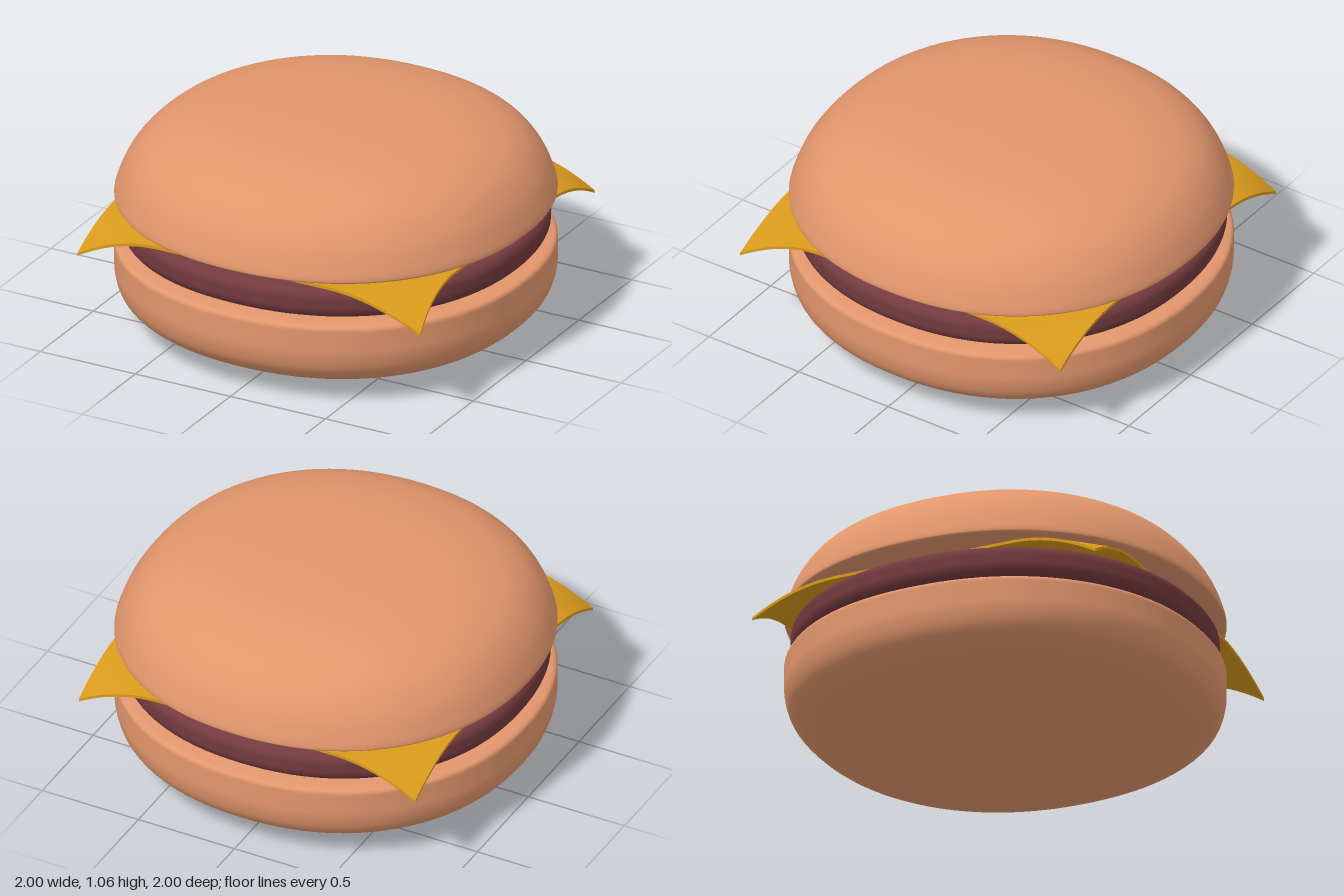
import * as THREE from 'three';
import { mergeVertices } from 'three/addons/utils/BufferGeometryUtils.js';

const bunMaterial = new THREE.MeshStandardMaterial({ color: 0xe2966c });
const pattyMaterial = new THREE.MeshStandardMaterial({ color: 0x733a3e });
const cheeseMaterial = new THREE.MeshStandardMaterial({ color: 0xd99a1c });

// Smooth round layer: a spline profile [radius, y] from bottom to top,
// spun round and pushed out slightly toward the diagonals.
function roundLayer(name, profile, material) {
  const curve = new THREE.CatmullRomCurve3(
    profile.map(([r, y]) => new THREE.Vector3(r, y, 0)), false, 'centripetal');
  const points = [];
  const steps = (profile.length - 1) * 5;
  for (let i = 0; i <= steps; i++) {
    const p = curve.getPoint(i / steps);
    const onAxis = i === 0 || i === steps;
    points.push(new THREE.Vector2(onAxis ? 0 : Math.min(1, Math.max(0, p.x)), p.y));
  }
  let geometry = new THREE.LatheGeometry(points, 96);
  const pos = geometry.attributes.position;
  const n = 2.16;
  for (let i = 0; i < pos.count; i++) {
    const x = pos.getX(i), z = pos.getZ(i), r = Math.hypot(x, z);
    if (r < 1e-6) continue;
    const k = (Math.abs(x / r) ** n + Math.abs(z / r) ** n) ** (-1 / n);
    pos.setX(i, x * k);
    pos.setZ(i, z * k);
  }
  // Weld the seam so the shading stays smooth all round
  geometry.deleteAttribute('normal');
  geometry.deleteAttribute('uv');
  geometry = mergeVertices(geometry, 1e-5);
  geometry.computeVertexNormals();
  const mesh = new THREE.Mesh(geometry, material);
  mesh.name = name;
  return mesh;
}

// Thin square slice whose corners droop; the front left one also flares out
function cheeseSlice() {
  const half = 0.875;
  const geometry = new THREE.BoxGeometry(2 * half, 0.014, 2 * half, 56, 1, 56);
  const pos = geometry.attributes.position;
  for (let i = 0; i < pos.count; i++) {
    const x = pos.getX(i), z = pos.getZ(i);
    const t = Math.max(0, (Math.abs(x) + Math.abs(z) - 1.325) / 0.425);
    pos.setY(i, pos.getY(i) + 0.602 - 0.127 * t * t);
    if (x > 0 && z > 0) pos.setX(i, x + 0.055 * t * t);
  }
  geometry.computeVertexNormals();
  const mesh = new THREE.Mesh(geometry, cheeseMaterial);
  mesh.name = 'cheeseSlice';
  return mesh;
}

export function createModel() {
  const group = new THREE.Group();
  group.name = 'burger';

  group.add(roundLayer('bottomBun', [
    [0, 0.004], [0.3, 0.009], [0.55, 0.024], [0.75, 0.055], [0.9, 0.115], [0.97, 0.18],
    [0.997, 0.26], [1, 0.33], [1, 0.4], [0.99, 0.416], [0.95, 0.425], [0.85, 0.43], [0, 0.43],
  ], bunMaterial));

  group.add(roundLayer('patty', [
    [0, 0.43], [0.8, 0.431], [0.89, 0.437], [0.945, 0.453], [0.967, 0.485],
    [0.97, 0.52], [0.967, 0.56], [0.945, 0.585], [0.89, 0.594], [0.8, 0.596], [0, 0.596],
  ], pattyMaterial));

  group.add(cheeseSlice());

  group.add(roundLayer('topBun', [
    [0, 0.62], [0.75, 0.621], [0.88, 0.626], [0.96, 0.634], [0.993, 0.641], [1, 0.65],
    [0.985, 0.71], [0.945, 0.8], [0.87, 0.895], [0.76, 0.965], [0.6, 1.015],
    [0.4, 1.043], [0.2, 1.055], [0, 1.06],
  ], bunMaterial));

  return group;
}
